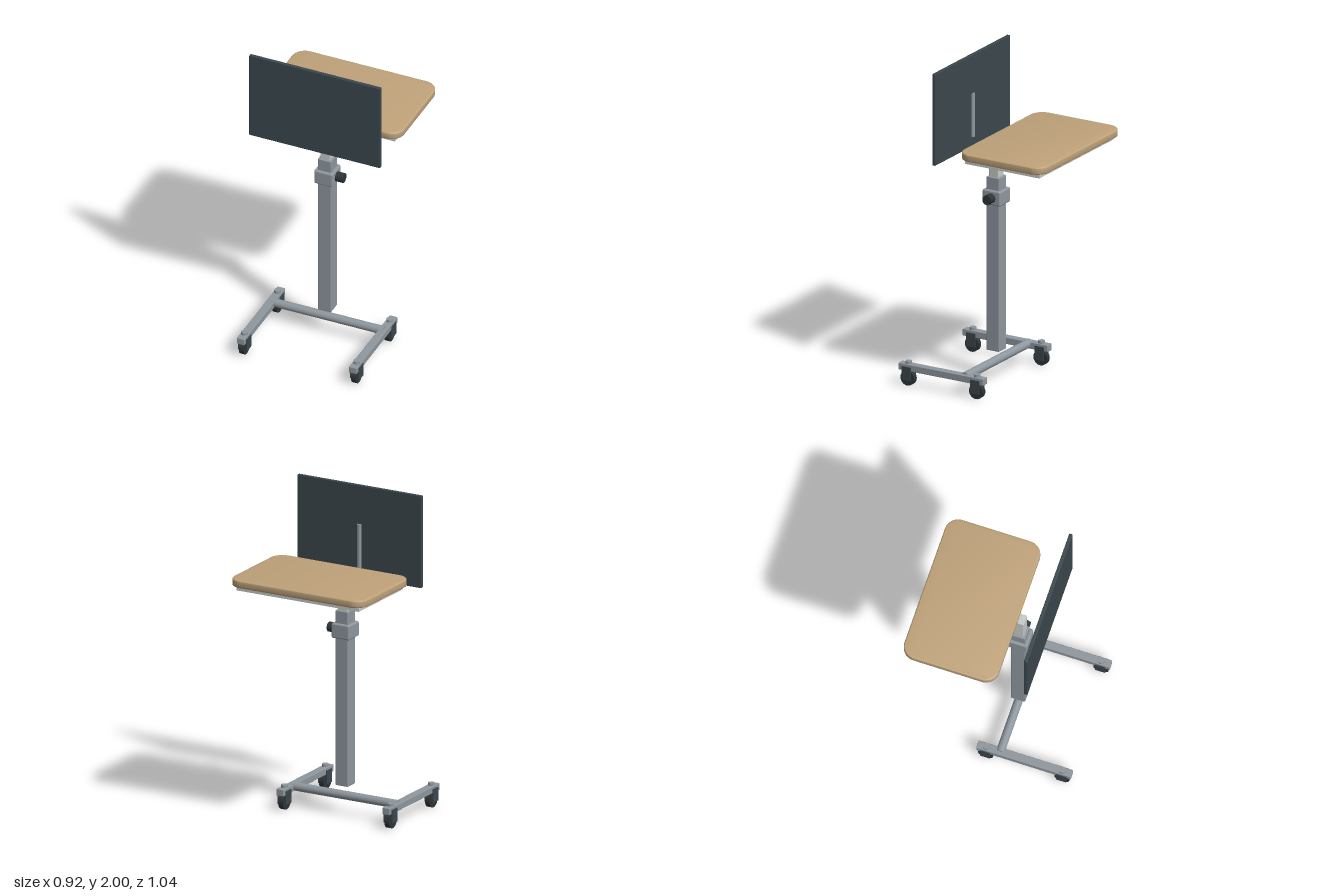
import * as THREE from 'three';
import { RoundedBoxGeometry } from 'three/addons/geometries/RoundedBoxGeometry.js';
import { toCreasedNormals } from 'three/addons/utils/BufferGeometryUtils.js';

const material = (name, color) => {
  const m = new THREE.MeshStandardMaterial({ color });
  m.name = name;
  return m;
};

export function createModel() {
  const wood = material('wood', 0xbfa27a);
  const steel = material('steel grey', 0x8f989f);
  const silver = material('light silver', 0xc8ccc8);
  const slate = material('dark slate', 0x3b474d);
  const rubber = material('black rubber', 0x2d3438);

  const model = new THREE.Group();
  model.name = 'rollingDesk';

  const add = (name, geometry, mat, x, y, z, parent = model) => {
    const mesh = new THREE.Mesh(geometry, mat);
    mesh.name = name;
    mesh.position.set(x, y, z);
    parent.add(mesh);
    return mesh;
  };
  const softBox = (w, h, d, r) => new RoundedBoxGeometry(w, h, d, 2, r);
  const rod = (r, length, axis) => {
    const g = new THREE.CylinderGeometry(r, r, length, 32);
    if (axis === 'x') g.rotateZ(Math.PI / 2);
    if (axis === 'z') g.rotateX(Math.PI / 2);
    return g;
  };

  // Tabletop: rounded rectangle with softened edges
  const bevel = 0.008, hw = 0.46 - bevel, hd = 0.295 - bevel, r = 0.075;
  const outline = new THREE.Shape();
  outline.absarc(hw - r, hd - r, r, 0, Math.PI / 2);
  outline.absarc(-hw + r, hd - r, r, Math.PI / 2, Math.PI);
  outline.absarc(-hw + r, -hd + r, r, Math.PI, Math.PI * 1.5);
  outline.absarc(hw - r, -hd + r, r, Math.PI * 1.5, Math.PI * 2);
  const top = new THREE.ExtrudeGeometry(outline, {
    depth: 0.046 - 2 * bevel, bevelThickness: bevel, bevelSize: bevel, bevelSegments: 3, curveSegments: 10,
  });
  top.rotateX(-Math.PI / 2);
  add('tabletop', toCreasedNormals(top, 0.6), wood, 0, 1.506 + bevel, -0.225);

  // Support under the tabletop
  add('supportPlate', new THREE.BoxGeometry(0.84, 0.022, 0.515), silver, 0, 1.488, -0.2225);
  add('plateMount', new THREE.BoxGeometry(0.06, 0.024, 0.04), silver, 0, 1.488, 0.053);
  add('supportArm', rod(0.018, 0.42, 'z'), steel, 0, 1.465, -0.152);

  // Telescopic column with clamp and knob
  const cz = 0.076;
  add('innerPost', softBox(0.064, 0.3, 0.064, 0.004), silver, 0, 1.332, cz);
  add('outerColumn', softBox(0.086, 1.085, 0.088, 0.005), steel, 0, 0.7325, cz);
  add('clampCollar', softBox(0.122, 0.092, 0.124, 0.01), steel, 0, 1.151, cz);
  add('clampKnob', rod(0.03, 0.055, 'x'), rubber, 0.083, 1.151, cz);

  // Upright screen and its rear rib
  add('screen', softBox(0.85, 0.572, 0.022, 0.004), slate, 0, 1.714, 0.251);
  add('screenRib', rod(0.016, 0.27, 'y'), steel, 0, 1.625, 0.243);

  // Base frame
  add('crossbar', rod(0.026, 0.73, 'x'), steel, 0, 0.124, 0.072);
  for (const side of [-1, 1]) {
    const x = side * 0.364;
    add('baseRail', softBox(0.05, 0.042, 0.59, 0.004), steel, x, 0.118, 0.225);

    // Casters: wheel, fork cheeks, axle and swivel cap
    for (const z of [0.462, -0.014]) {
      const caster = new THREE.Group();
      caster.name = 'caster';
      caster.position.set(x, 0, z);
      model.add(caster);
      add('wheel', rod(0.047, 0.032, 'x'), rubber, 0, 0.05, 0, caster);
      add('axle', rod(0.01, 0.056, 'x'), rubber, 0, 0.05, 0, caster);
      for (const s of [-1, 1])
        add('forkCheek', new THREE.BoxGeometry(0.008, 0.084, 0.062), slate, s * 0.026, 0.081, 0, caster);
      add('swivelCap', rod(0.02, 0.022, 'y'), steel, 0, 0.144, 0, caster);
    }
  }
  return model;
}
